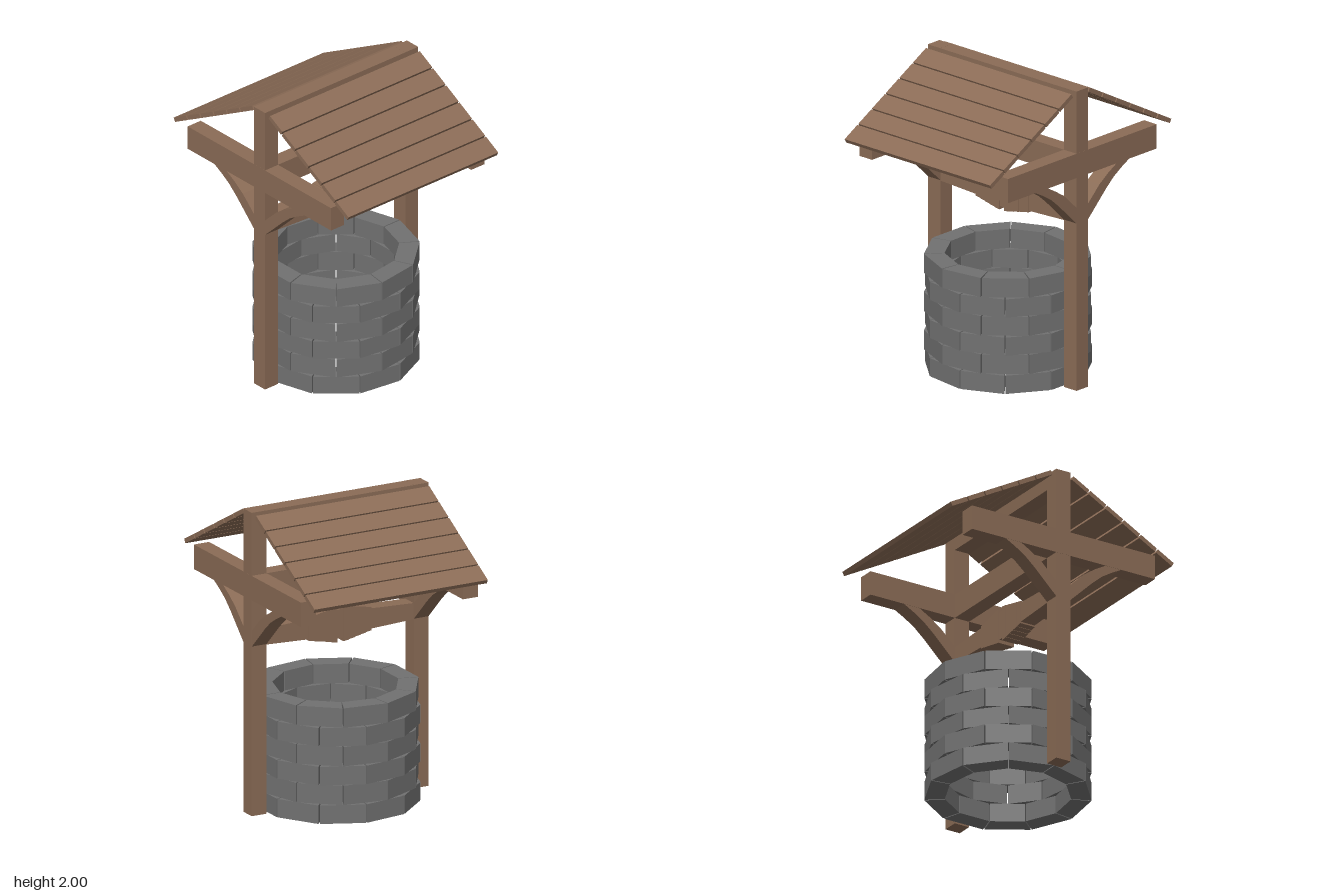
import * as THREE from 'three';

const wood = new THREE.MeshStandardMaterial({ color: 0x8b6c56 });
wood.name = 'wood';
const stone = new THREE.MeshStandardMaterial({ color: 0x717171 });
stone.name = 'stone';

function add(parent, name, geometry, material) {
  const mesh = new THREE.Mesh(geometry, material);
  mesh.name = name;
  parent.add(mesh);
  return mesh;
}

// Box given by its centre and size
function box(parent, name, [x, y, z], [w, h, d]) {
  const mesh = add(parent, name, new THREE.BoxGeometry(w, h, d), wood);
  mesh.position.set(x, y, z);
  return mesh;
}

// Outline extruded to a depth, centred on that depth
function slab(points, depth) {
  const shape = new THREE.Shape(points.map(p => new THREE.Vector2(...p)));
  const geometry = new THREE.ExtrudeGeometry(shape, { depth, bevelEnabled: false });
  return geometry.translate(0, 0, -depth / 2);
}

// Six staggered courses of eleven wedge-shaped blocks
function buildWall() {
  const wall = new THREE.Group();
  wall.name = 'wellWall';
  const count = 11, courses = 6, outer = 0.53, inner = 0.4, gap = 0.008;
  const step = Math.PI * 2 / count, courseHeight = 0.765 / courses;
  for (let c = 0; c < courses; c++) {
    const height = courseHeight - (c % 2 === 0 ? 0.006 : 0);
    const start = (c % 2 === 0 ? 1 : -1) * Math.PI / 2;
    for (let i = 0; i < count; i++) {
      const a = start + i * step + gap, b = start + (i + 1) * step - gap;
      const at = (r, t) => [r * Math.cos(t), -r * Math.sin(t)];
      const block = slab([at(inner, a), at(outer, a), at(outer, b), at(inner, b)], height);
      block.rotateX(-Math.PI / 2);
      add(wall, 'stoneBlock', block, stone).position.y = c * courseHeight + height / 2;
    }
  }
  return wall;
}

// Post, crossbeam and two curved braces at each end
function buildFrame() {
  const frame = new THREE.Group();
  frame.name = 'frame';
  const braceOutline = [
    [0.05, 1.115], [0.15, 1.212], [0.22, 1.28], [0.29, 1.34], [0.36, 1.384], [0.437, 1.425],
    [0.32, 1.425], [0.24, 1.38], [0.16, 1.325], [0.1, 1.268], [0.05, 1.22],
  ];
  for (const end of [1, -1]) {
    const z = end * 0.5835;
    box(frame, 'post', [0, 1, z], [0.107, 2, 0.107]);
    box(frame, 'crossbeam', [0, 1.504, z], [1.37, 0.162, 0.109]);
    for (const side of [1, -1]) {
      const brace = add(frame, 'curvedBrace', slab(braceOutline, 0.106), wood);
      brace.position.z = z;
      if (side < 0) brace.rotation.y = Math.PI;
    }
  }
  box(frame, 'tieBeam', [0, 1.504, 0], [0.106, 0.162, 1.07]);
  box(frame, 'ridgeBeam', [0, 1.946, 0], [0.107, 0.107, 1.07]);
  return frame;
}

// Six spaced boards on each slope
function buildRoof() {
  const roof = new THREE.Group();
  roof.name = 'roof';
  const top = [0.074, 1.977], bottom = [0.833, 1.563], count = 6;
  const dx = bottom[0] - top[0], dy = bottom[1] - top[1];
  const pitch = Math.hypot(dx, dy) / count;
  for (const side of [1, -1]) {
    for (let i = 0; i < count; i++) {
      const t = (i + 0.5) / count;
      const board = box(roof, 'roofBoard', [side * (top[0] + dx * t), top[1] + dy * t, 0],
        [pitch - 0.01, 0.029, 1.247]);
      board.rotation.z = side * Math.atan2(dy, dx);
    }
  }
  return roof;
}

// Tapered axle with stepped plates swelling towards the middle
function buildAxle() {
  const axle = new THREE.Group();
  axle.name = 'windlass';
  axle.position.y = 1.168;
  axle.rotation.y = Math.PI / 2;
  add(axle, 'axle', slab([
    [-0.535, -0.053], [-0.22, -0.067], [0, -0.097], [0.22, -0.067], [0.535, -0.053],
    [0.535, 0.053], [0.22, 0.067], [0, 0.097], [-0.22, 0.067], [-0.535, 0.053],
  ], 0.104), wood);
  for (const side of [1, -1]) {
    for (let i = 0; i < 5; i++) {
      const x = side * (0.042 + i * 0.041), h = 0.114 - i * 0.0085;
      const near = h + 0.003, far = h - 0.003;
      const [l, r] = side > 0 ? [near, far] : [far, near];
      const plate = slab([[-0.0205, -l], [0.0205, -r], [0.0205, r], [-0.0205, l]], 0.117 - i * 0.002);
      add(axle, 'axlePlate', plate, wood).position.x = x;
    }
  }
  return axle;
}

export function createModel() {
  const model = new THREE.Group();
  model.name = 'well';
  model.add(buildWall(), buildFrame(), buildRoof(), buildAxle());
  return model;
}
